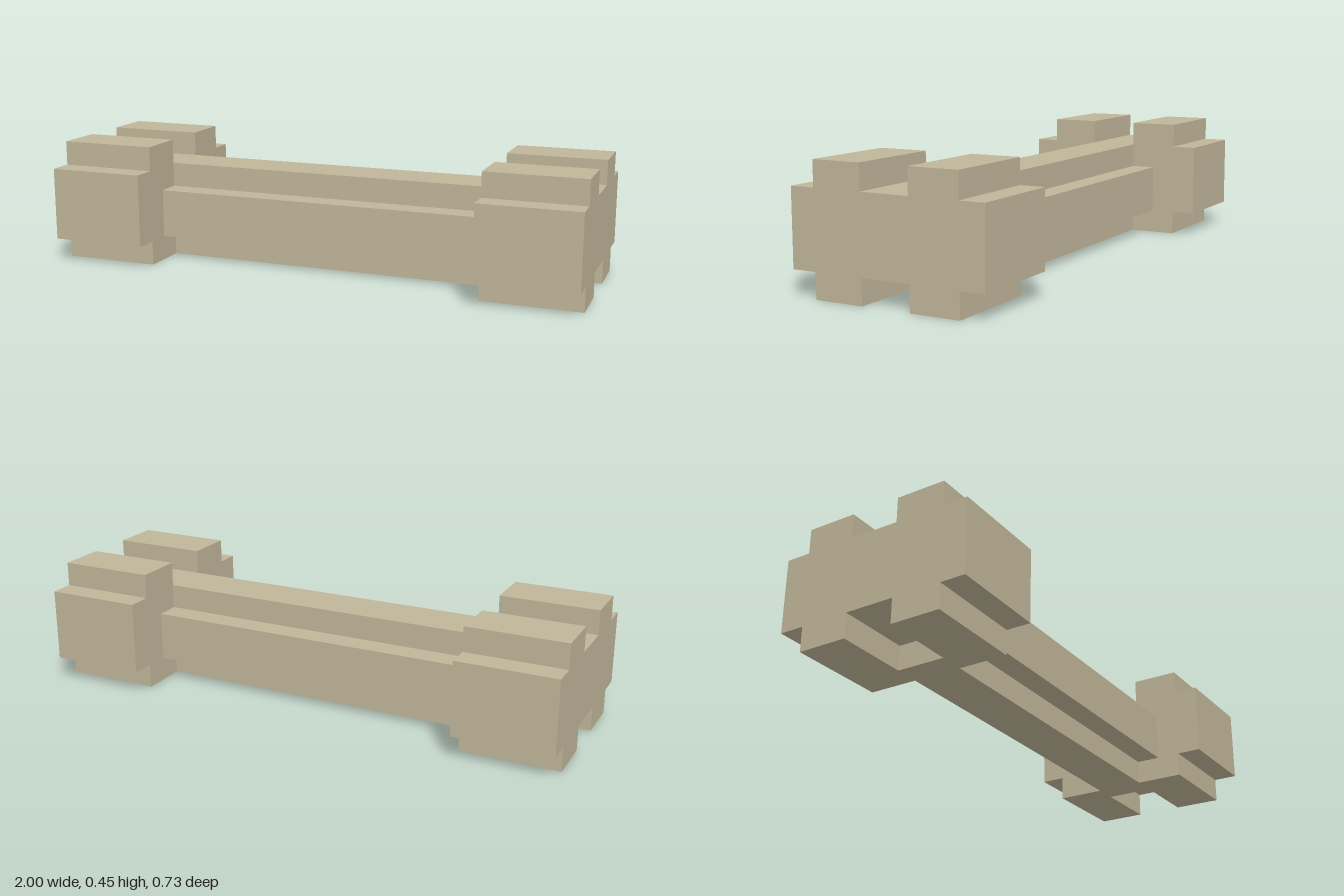
import * as THREE from 'three';

const U = 1 / 11; // one block unit

// Full outline from its +z half, mirrored, extruded along x from x0 to x1 (in units)
function bar(half, x0, x1) {
  const mirrored = half.map(([z, y]) => [-z, y]).reverse();
  const points = [...half, ...mirrored].map(([z, y]) => new THREE.Vector2(z * U, y * U));
  const geometry = new THREE.ExtrudeGeometry(new THREE.Shape(points), { depth: (x1 - x0) * U, bevelEnabled: false });
  geometry.rotateY(Math.PI / 2);
  geometry.translate(x0 * U, 0, 0);
  return geometry;
}

export function createModel() {
  const model = new THREE.Group();
  model.name = 'bone';
  const boneColour = new THREE.MeshStandardMaterial({ color: 0xc0b599 });
  boneColour.name = 'bone beige';

  const add = (name, geometry) => {
    const mesh = new THREE.Mesh(geometry, boneColour);
    mesh.name = name;
    model.add(mesh);
    return mesh;
  };

  // Shaft with a cross-shaped section
  const shaftHalf = [[1, 0], [1, 1], [2, 1], [2, 3], [1, 3], [1, 4]];
  add('shaft', bar(shaftHalf, -7, 7));

  // Knobbed ends, notched above and below
  const endHalf = [[1, 1], [1, 0], [3, 0], [3, 1], [4, 1], [4, 4], [3, 4], [3, 5], [1, 5], [1, 4]];
  for (const [side, sign] of [['left', 1], ['right', -1]]) {
    add(side + 'End', bar(endHalf, sign > 0 ? 7 : -11, sign > 0 ? 11 : -7));

    // Shaft underside running a little way into the lower notch
    const tab = add(side + 'ShaftTip', new THREE.BoxGeometry(U, U, 2 * U));
    tab.position.set(sign * 7.5 * U, 0.5 * U, 0);
  }
  return model;
}
